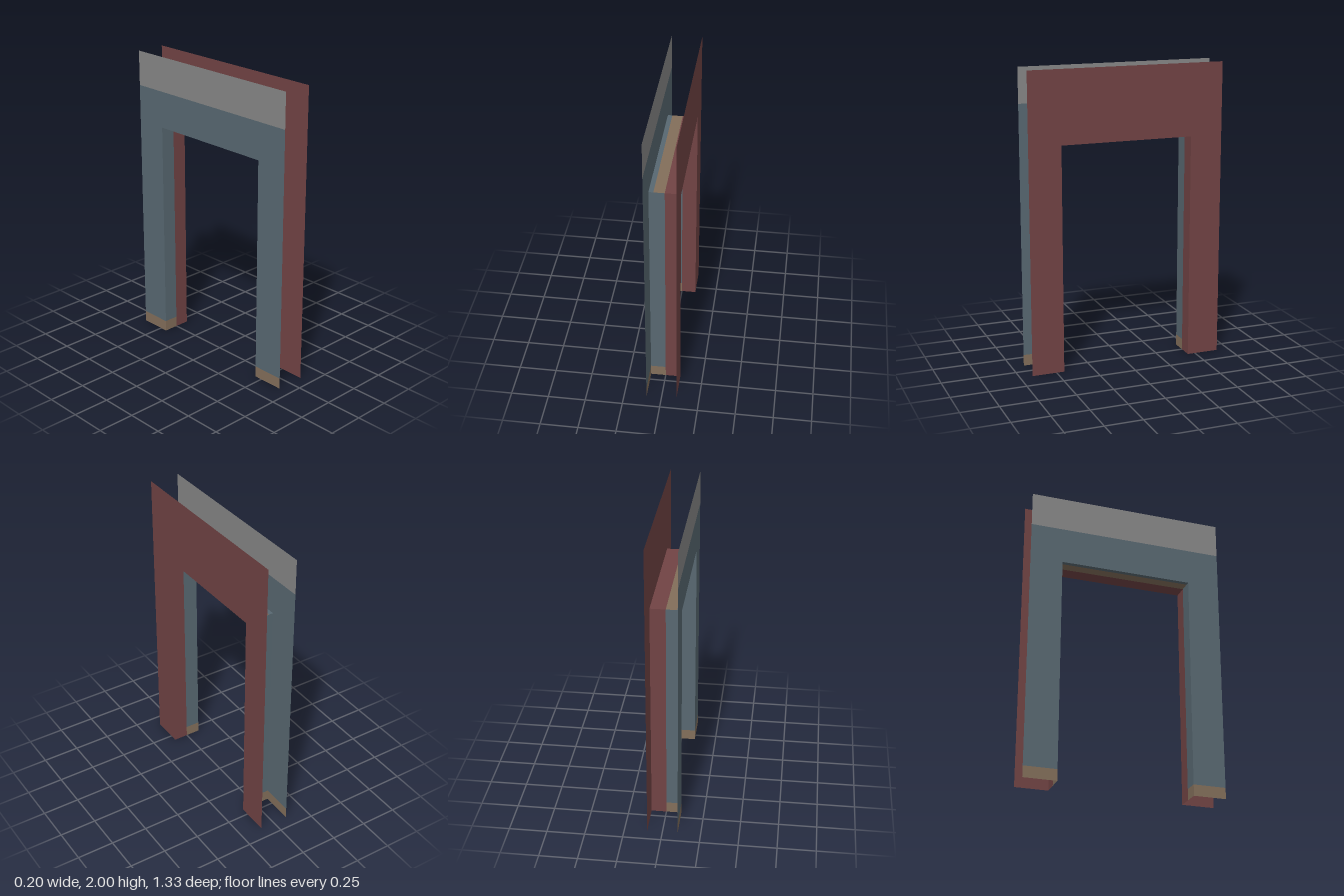
import * as THREE from 'three';

const T = 0.1;              // half wall thickness
const W = 0.666, H = 2;     // wall half width and height
const OW = 0.447, OH = 1.517; // opening half width and height
const BASE = 0.075, BAND = 1.765; // skirting top, upper band bottom

const material = (name, color) =>
  new THREE.MeshStandardMaterial({ name, color, side: THREE.DoubleSide });

export function createModel() {
  const group = new THREE.Group();
  const red = material('dark red paint', 0x714344);
  const blue = material('slate blue paint', 0x586871);
  const brown = material('brown trim', 0x826e5a);
  const grey = material('grey band', 0x868686);

  const add = (name, geometry, mat) => {
    const mesh = new THREE.Mesh(geometry, mat);
    mesh.name = name;
    group.add(mesh);
  };

  // Arch-shaped wall face from height y0 to y1, facing outwards on side s
  const archFace = (name, s, y0, y1, mat) => {
    const shape = new THREE.Shape([
      [-W, y0], [-OW, y0], [-OW, OH], [OW, OH], [OW, y0], [W, y0], [W, y1], [-W, y1],
    ].map(([x, y]) => new THREE.Vector2(x, y)));
    add(name, new THREE.ShapeGeometry(shape).rotateY(s * Math.PI / 2).translate(s * T, 0, 0), mat);
  };

  // Rectangle on the second wall face
  const facePanel = (name, z0, z1, y0, y1, mat) =>
    add(name, new THREE.PlaneGeometry(z1 - z0, y1 - y0).rotateY(-Math.PI / 2)
      .translate(-T, (y0 + y1) / 2, (z0 + z1) / 2), mat);

  // Wall faces
  archFace('redWallFace', 1, 0, H, red);
  archFace('blueWallFace', -1, BASE, BAND, blue);
  facePanel('upperBand', -W, W, BAND, H, grey);

  // Jambs and skirting on both sides of the opening
  for (const s of [-1, 1]) {
    const side = s > 0 ? 'front' : 'back';
    facePanel(side + 'Skirting', Math.min(s * W, s * OW), Math.max(s * W, s * OW), 0, BASE, brown);
    const jamb = (name, x0, x1, y0, y1, mat) =>
      add(side + name, new THREE.PlaneGeometry(x1 - x0, y1 - y0).rotateY(s > 0 ? Math.PI : 0)
        .translate((x0 + x1) / 2, (y0 + y1) / 2, s * OW), mat);
    jamb('RedJamb', 0, T, 0, OH, red);
    jamb('BlueJamb', -T, 0, BASE, OH, blue);
    jamb('JambSkirting', -T, 0, 0, BASE, brown);
  }

  // Underside of the lintel in three strips
  const soffit = (name, x0, x1, mat) =>
    add(name, new THREE.PlaneGeometry(x1 - x0, 2 * OW).rotateX(Math.PI / 2)
      .translate((x0 + x1) / 2, OH, 0), mat);
  soffit('redSoffit', 0, T, red);
  soffit('brownSoffit', -0.07, 0, brown);
  soffit('blueSoffit', -T, -0.07, blue);

  return group;
}
